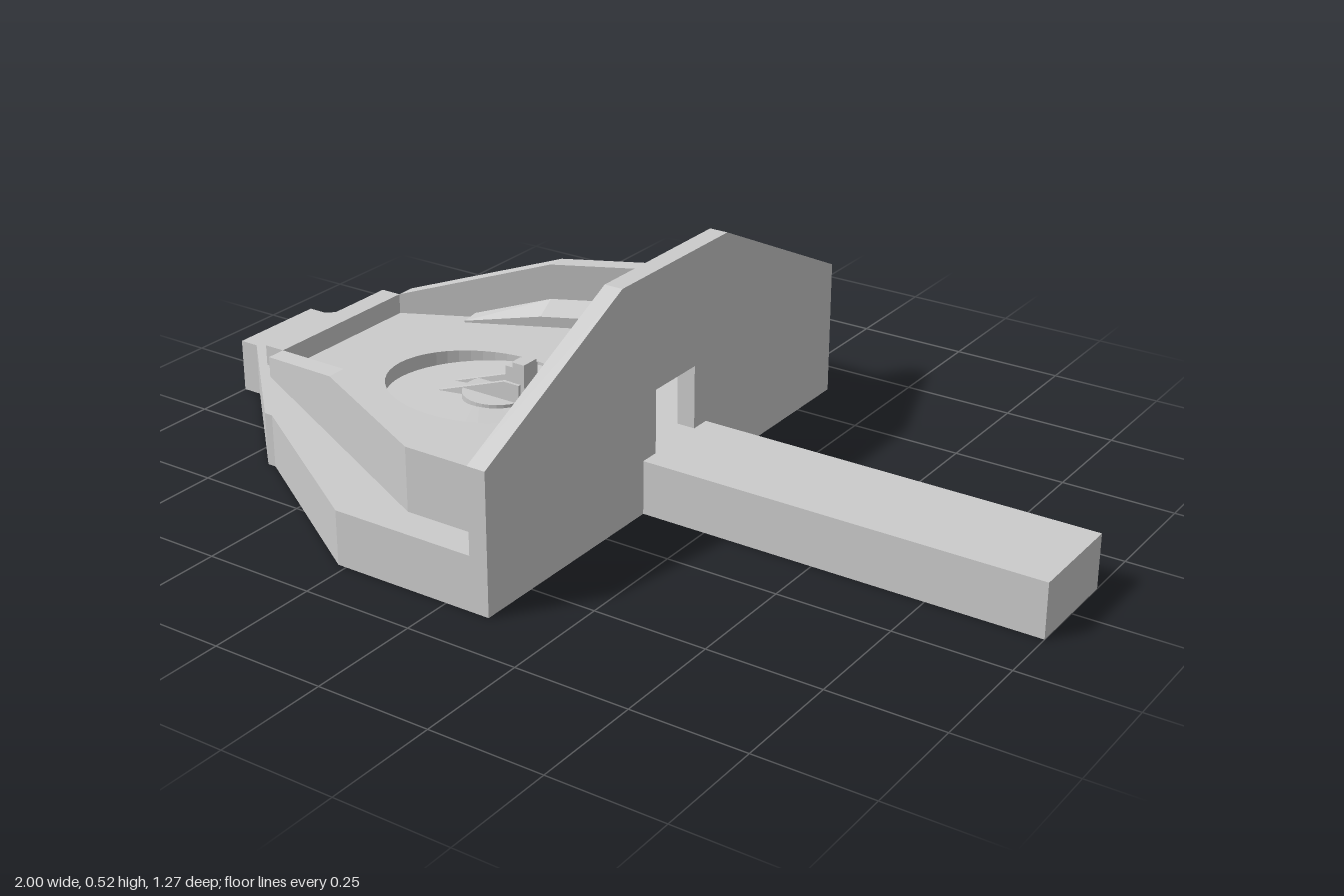
import * as THREE from 'three';

const material = new THREE.MeshStandardMaterial({ color: 0xcccccc, flatShading: true, side: THREE.DoubleSide });

function add(group, name, geometry, x = 0, y = 0, z = 0) {
  const mesh = new THREE.Mesh(geometry, material);
  mesh.name = name;
  mesh.position.set(x, y, z);
  group.add(mesh);
  return mesh;
}

// Box given by its limits on each axis
function block(group, name, x0, x1, y0, y1, z0, z1) {
  return add(group, name, new THREE.BoxGeometry(x1 - x0, y1 - y0, z1 - z0),
    (x0 + x1) / 2, (y0 + y1) / 2, (z0 + z1) / 2);
}

// Solid through rings of four corners, stacked along +x
function loft(rings) {
  const p = [];
  const tri = (...v) => v.forEach((c) => p.push(...c));
  for (let i = 0; i < rings.length - 1; i++) {
    const a = rings[i], b = rings[i + 1];
    for (let j = 0; j < 4; j++) {
      const k = (j + 1) % 4;
      tri(a[j], a[k], b[j]);
      tri(a[k], b[k], b[j]);
    }
  }
  const s = rings[0], e = rings[rings.length - 1];
  tri(s[0], s[2], s[1]); tri(s[0], s[3], s[2]);
  tri(e[0], e[1], e[2]); tri(e[0], e[2], e[3]);
  const g = new THREE.BufferGeometry();
  g.setAttribute('position', new THREE.Float32BufferAttribute(p, 3));
  g.computeVertexNormals();
  return g;
}

// Stations: [x, inner z, outer z, inner top y, outer top y]; side mirrors across z
function sideSolid(stations, side, shift, floor) {
  return loft(stations.map(([x, zi, zo, yi, yo]) => {
    const ring = [[floor, zi], [yi, zi], [yo, zo], [floor, zo]]
      .map(([y, z]) => [x, y, side * z + shift]);
    return side > 0 ? ring : ring.reverse();
  }));
}

// Plan outline in (x, z) raised from y0 to y1
function slab(shape, y0, y1) {
  const g = new THREE.ExtrudeGeometry(shape, { depth: y1 - y0, bevelEnabled: false, curveSegments: 24 });
  g.rotateX(-Math.PI / 2);
  g.translate(0, y0, 0);
  return g;
}

export function createModel() {
  const model = new THREE.Group();
  model.name = 'gunPlatform';
  const floor = 0.12, shift = -0.015;

  // Base in two layers, the upper one pierced for the sunken pit
  const half = [[-1, 0.117], [-0.955, 0.117], [-0.69, 0.378], [-0.67, 0.378], [-0.27, 0.635], [0.06, 0.635]];
  const outline = [...half, ...half.map(([x, z]) => [x, -z]).reverse()].map(([x, z]) => new THREE.Vector2(x, z));
  const pit = { x: -0.4, z: 0.008, rx: 0.225, rz: 0.178 };
  const upper = new THREE.Shape(outline);
  upper.holes.push(new THREE.Path().absellipse(pit.x, -pit.z, pit.rx, pit.rz, 0, Math.PI * 2));
  add(model, 'lowerBase', slab(new THREE.Shape(outline), 0, 0.08));
  add(model, 'upperBase', slab(upper, 0.08, floor));

  // Pit floor, deepest at the nose end and rising to the deck
  const pitFloor = new THREE.CircleGeometry(1, 48);
  pitFloor.rotateX(-Math.PI / 2);
  pitFloor.scale(pit.rx, 1, pit.rz);
  const pos = pitFloor.attributes.position;
  for (let i = 0; i < pos.count; i++) {
    pos.setY(i, Math.min(floor, floor - 0.035 * (0.1 - pos.getX(i)) / 0.325));
  }
  add(model, 'pitFloor', pitFloor, pit.x, 0, pit.z);

  // Tall gabled cross wall with a square opening
  const wall = new THREE.Shape([[-0.635, 0], [0.635, 0], [0.635, 0.307], [0.19, 0.52], [-0.19, 0.52], [-0.635, 0.307]]
    .map(([z, y]) => new THREE.Vector2(z, y)));
  wall.holes.push(new THREE.Path([[-0.072, floor], [-0.072, 0.262], [0.072, 0.262], [0.072, floor]]
    .map(([z, y]) => new THREE.Vector2(z, y))));
  const wallGeometry = new THREE.ExtrudeGeometry(wall, { depth: 0.042, bevelEnabled: false });
  wallGeometry.rotateY(Math.PI / 2);
  add(model, 'crossWall', wallGeometry, 0.06, 0, 0);

  // Long beam behind the wall
  block(model, 'rearBeam', 0.1, 1, 0, floor, -0.117, 0.117);

  // Parapets and sloping ledges along both sides
  const parapet = [
    [-0.81, 0.2, 0.245, 0.167, 0.167], [-0.49, 0.36, 0.405, 0.26, 0.26],
    [-0.15, 0.53, 0.575, 0.26, 0.26], [0.06, 0.53, 0.575, 0.26, 0.26]];
  const ledge = [
    [-0.65, 0.24, 0.28, 0.124, 0.13], [-0.49, 0.318, 0.36, 0.145, 0.175],
    [-0.15, 0.485, 0.53, 0.145, 0.175], [0.06, 0.485, 0.53, 0.145, 0.175]];
  for (const side of [1, -1]) {
    const label = side > 0 ? 'front' : 'back';
    add(model, label + 'Parapet', sideSolid(parapet, side, shift, floor));
    add(model, label + 'Ledge', sideSolid(ledge, side, shift, floor));
  }
  block(model, 'noseParapet', -0.86, -0.81, floor, 0.167, -0.215, 0.185);

  // Low bar across the deck
  block(model, 'deckBar', -0.2, -0.155, floor, 0.15, -0.155, 0.195);

  // Gun mount: round pivot, twin cheeks and a small breech post
  const pivot = new THREE.CylinderGeometry(0.08, 0.08, 0.025, 32);
  add(model, 'pivot', pivot, -0.35, 0.1105, 0.008);
  for (const z of [-0.03, 0.03]) {
    const cheek = sideSolid([[-0.49, 0, 0.012, 0.1, 0.1], [-0.31, 0, 0.012, 0.165, 0.165],
      [-0.27, 0, 0.012, 0.165, 0.165]], 1, z, 0.09);
    add(model, 'mountCheek', cheek);
  }
  block(model, 'breech', -0.31, -0.265, floor, 0.2, -0.02, 0.034);
  block(model, 'breechPost', -0.29, -0.26, floor, 0.212, -0.01, 0.035);
  return model;
}
